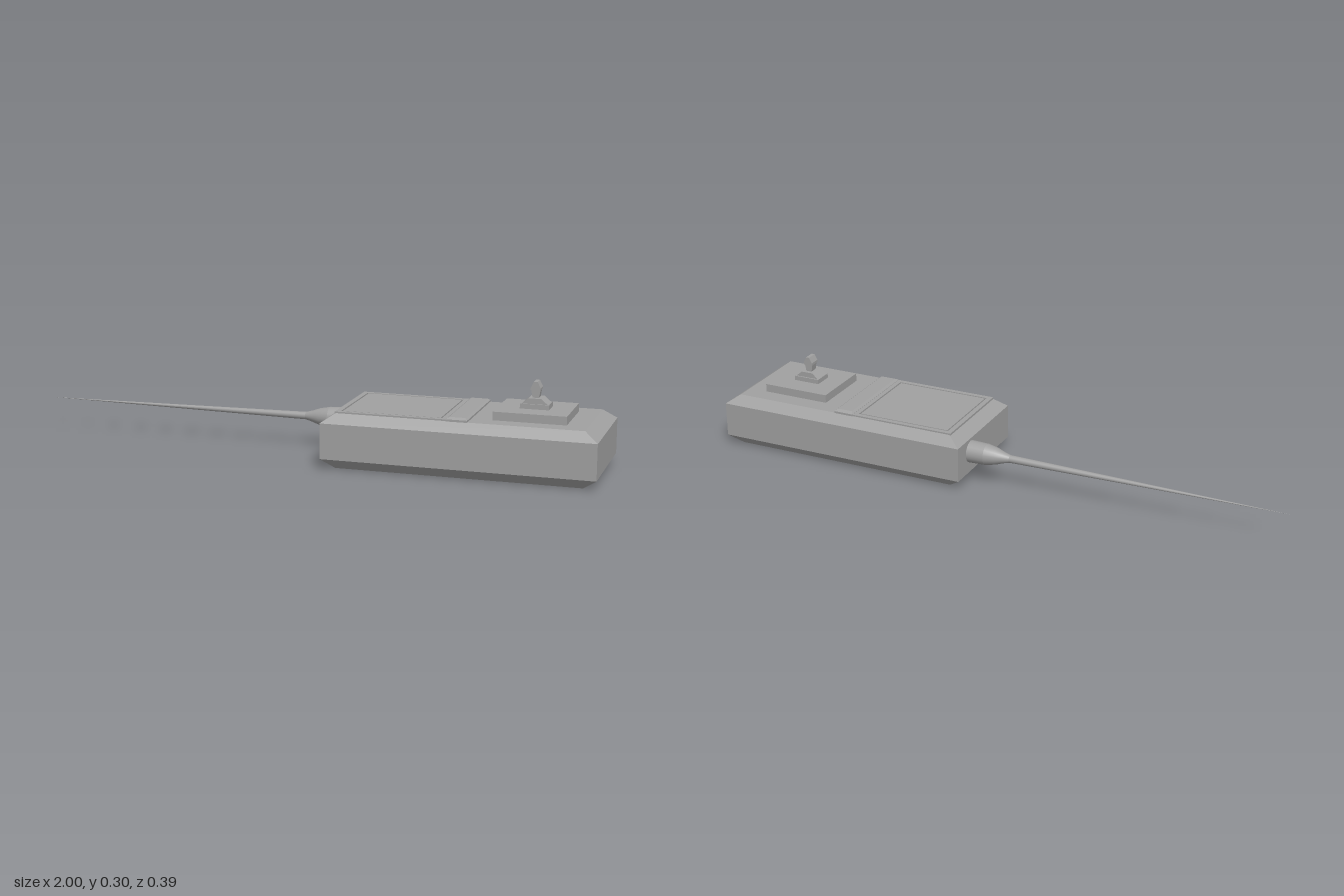
import * as THREE from 'three';

const flat = new THREE.MeshStandardMaterial({ color: 0xa0a0a0, flatShading: true });
const smooth = new THREE.MeshStandardMaterial({ color: 0xa0a0a0 });

// Stacked rectangular sections [y, halfX, halfZ], capped at both ends
function loft(sections) {
  const pos = [];
  const idx = [];
  for (const [y, hx, hz] of sections) {
    pos.push(-hx, y, -hz, -hx, y, hz, hx, y, hz, hx, y, -hz);
  }
  for (let s = 0; s < sections.length - 1; s++) {
    for (let i = 0; i < 4; i++) {
      const a = s * 4 + i, b = s * 4 + (i + 1) % 4;
      idx.push(a, b, b + 4, a, b + 4, a + 4);
    }
  }
  const t = (sections.length - 1) * 4;
  idx.push(0, 2, 1, 0, 3, 2, t, t + 1, t + 2, t, t + 2, t + 3);
  const g = new THREE.BufferGeometry();
  g.setAttribute('position', new THREE.Float32BufferAttribute(pos, 3));
  g.setIndex(idx);
  const out = g.toNonIndexed();
  out.computeVertexNormals();
  return out;
}

// Corner points of a centred rectangle, counter-clockwise
const rectangle = (hx, hy) => [[-hx, -hy], [hx, -hy], [hx, hy], [-hx, hy]]
  .map(p => new THREE.Vector2(...p));

export function createModel() {
  const model = new THREE.Group();
  model.name = 'handheldTransmitter';

  const add = (name, geometry, x, y = 0, z = 0, material = flat) => {
    const mesh = new THREE.Mesh(geometry, material);
    mesh.name = name;
    mesh.position.set(x, y, z);
    model.add(mesh);
  };

  // Chamfered case
  add('body', loft([
    [0, 0.405, 0.166], [0.033, 0.45, 0.196], [0.152, 0.45, 0.196], [0.183, 0.405, 0.166],
  ]), 0.55);

  // Thin raised frame around a panel, parted by a narrow groove
  const frame = new THREE.Shape(rectangle(0.185, 0.166));
  frame.holes.push(new THREE.Path(rectangle(0.168, 0.15).reverse()));
  const frameGeo = new THREE.ExtrudeGeometry(frame, { depth: 0.007, bevelEnabled: false });
  frameGeo.rotateX(-Math.PI / 2);
  add('panelFrame', frameGeo, 0.327, 0.181);
  add('panel', new THREE.BoxGeometry(0.326, 0.007, 0.29), 0.327, 0.184);

  // Bevelled cross ridge
  add('crossRidge', loft([[0.181, 0.035, 0.167], [0.189, 0.035, 0.167], [0.195, 0.027, 0.155]]), 0.546);

  // Toggle switch: plate, collar, sloped boot and tapered lever
  const sx = 0.768;
  add('switchPlate', new THREE.BoxGeometry(0.238, 0.029, 0.214), sx, 0.1965);
  add('switchCollar', loft([[0.21, 0.047, 0.033], [0.227, 0.047, 0.033]]), sx);
  add('switchBoot', loft([[0.227, 0.042, 0.028], [0.245, 0.021, 0.028]]), sx);
  add('switchLever', loft([
    [0.243, 0.01, 0.014], [0.27, 0.015, 0.014], [0.27, 0.016, 0.019],
    [0.278, 0.016, 0.019], [0.298, 0.006, 0.019],
  ]), sx);

  // Antenna on the right end: socket, tapered boot and whip
  const turned = (name, points) => {
    const g = new THREE.LatheGeometry(points.map(p => new THREE.Vector2(...p)), 24);
    g.rotateZ(Math.PI / 2);
    add(name, g, 0.1, 0.105, -0.1, smooth);
  };
  turned('antennaSocket', [[0.038, -0.01], [0.037, 0.03], [0.036, 0.06]]);
  turned('antennaBoot', [[0.036, 0.06], [0.029, 0.095], [0.02, 0.12], [0.013, 0.145]]);
  turned('antennaWhip', [[0.013, 0.145], [0, 1.1]]);

  return model;
}
